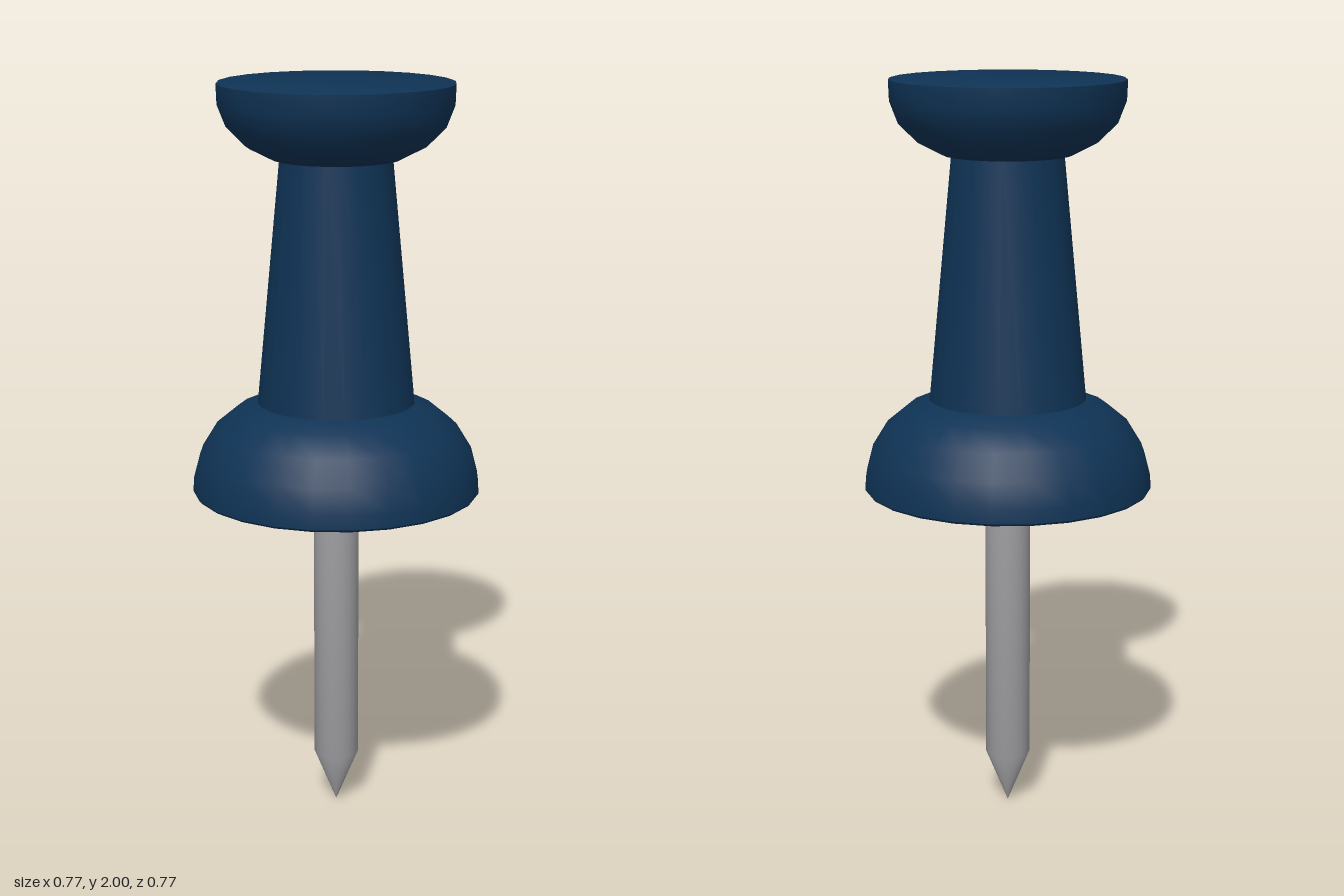
import * as THREE from 'three';
import { toCreasedNormals } from 'three/addons/utils/BufferGeometryUtils.js';

const SIDES = 24;

export function createModel() {
  const group = new THREE.Group();
  const bluePlastic = new THREE.MeshStandardMaterial({ color: 0x0f3355 });
  bluePlastic.name = 'bluePlastic';
  const steel = new THREE.MeshStandardMaterial({ color: 0xa0a0a4 });
  steel.name = 'steel';

  // Turned part from a [radius, height] profile listed bottom to top
  function turned(name, profile, material) {
    const points = profile.map(([r, y]) => new THREE.Vector2(r, y));
    const geometry = toCreasedNormals(new THREE.LatheGeometry(points, SIDES), 0.62);
    const mesh = new THREE.Mesh(geometry, material);
    mesh.name = name;
    group.add(mesh);
  }

  // Domed collar with a flat underside
  turned('collar', [
    [0, 0.912], [0.38, 0.912], [0.385, 0.918], [0.383, 0.955], [0.366, 1.02],
    [0.325, 1.087], [0.267, 1.135], [0.205, 1.16], [0, 1.165],
  ], bluePlastic);

  // Tapered grip
  turned('grip', [[0.21, 1.155], [0.147, 1.815]], bluePlastic);

  // Flat-topped head with a rounded underside
  turned('head', [
    [0, 1.805], [0.17, 1.805], [0.235, 1.838], [0.285, 1.888],
    [0.307, 1.945], [0.309, 1.998], [0.305, 2], [0, 2],
  ], bluePlastic);

  // Sharpened pin
  turned('pin', [[0, 0], [0.061, 0.15], [0.061, 0.92]], steel);

  return group;
}
